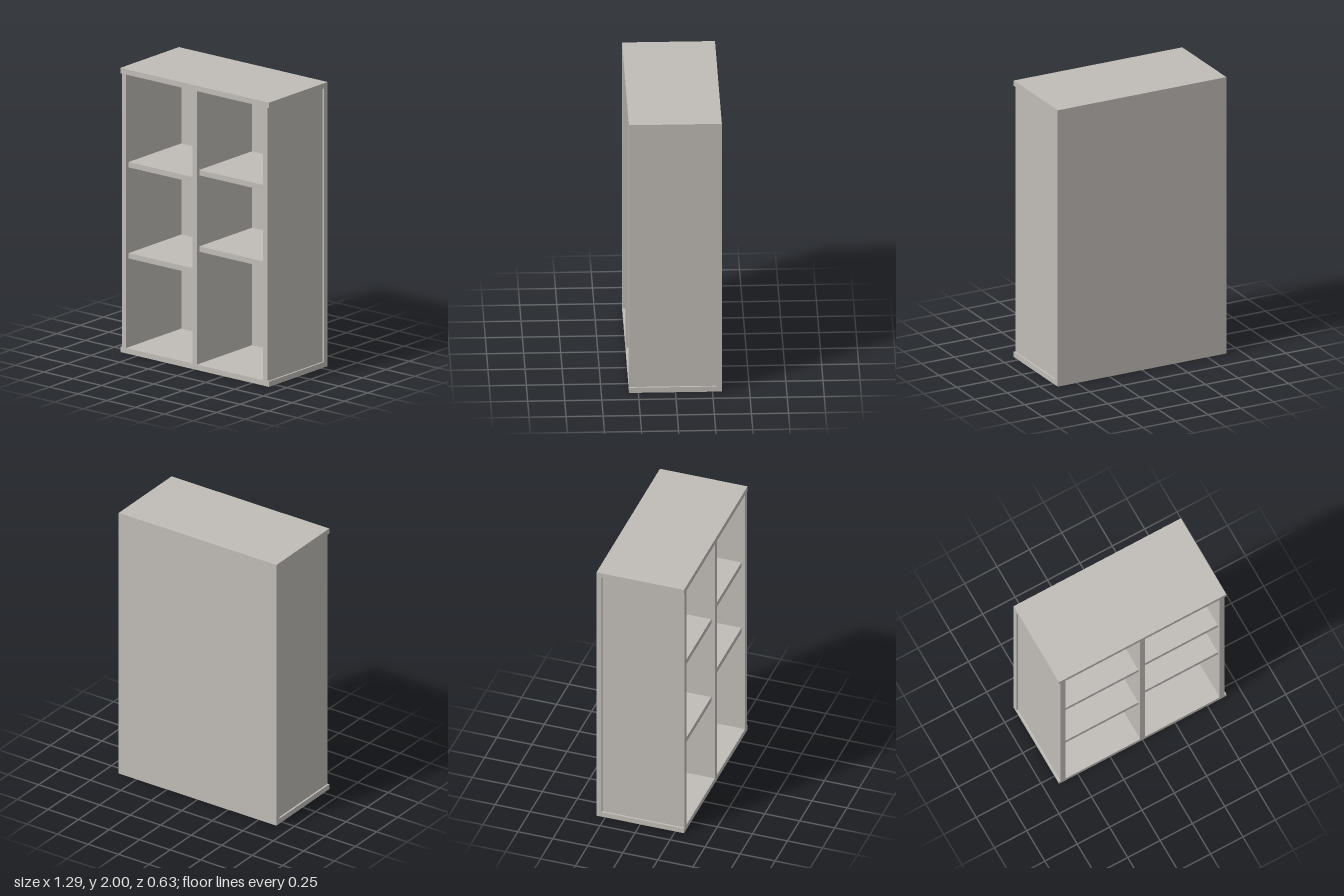
import * as THREE from 'three';

const W = 1.292, H = 2, D = 0.626; // overall size
const T = 0.038;                   // board thickness
const LIP = 0.013;                 // overhang of top, bottom and back past the sides
const RECESS = 0.026;              // shelves sit behind the front edge

export function createModel() {
  const model = new THREE.Group();
  model.name = 'bookcase';

  const board = new THREE.MeshStandardMaterial({ color: 0xc0bcb7 });
  board.name = 'warm grey board';

  // Adds a board spanning two opposite corners
  function addBoard(name, [x0, y0, z0], [x1, y1, z1]) {
    const mesh = new THREE.Mesh(new THREE.BoxGeometry(x1 - x0, y1 - y0, z1 - z0), board);
    mesh.name = name;
    mesh.position.set((x0 + x1) / 2, (y0 + y1) / 2, (z0 + z1) / 2);
    model.add(mesh);
  }

  const x = W / 2, z = D / 2;
  const back = -z + T;          // front face of the back panel
  const outer = x - LIP;        // outer face of the sides
  const inner = outer - T;      // inner face of the sides

  // Carcass
  addBoard('backPanel', [-x, 0, -z], [x, H, back]);
  addBoard('topPanel', [-x, H - T, back], [x, H, z]);
  addBoard('bottomPanel', [-x, 0, back], [x, T, z]);
  addBoard('leftSide', [inner, T, back], [outer, H - T, z]);
  addBoard('rightSide', [-outer, T, back], [-inner, H - T, z]);
  addBoard('divider', [-T / 2, T, back], [T / 2, H - T, z]);

  // Shelves, staggered between the two columns
  const columns = [
    { name: 'rightShelf', from: -inner, to: -T / 2, heights: [0.681, 1.322] },
    { name: 'leftShelf', from: T / 2, to: inner, heights: [0.845, 1.383] },
  ];
  for (const { name, from, to, heights } of columns) {
    heights.forEach((y, i) =>
      addBoard(`${name}${i + 1}`, [from, y - T / 2, back], [to, y + T / 2, z - RECESS]));
  }

  return model;
}
